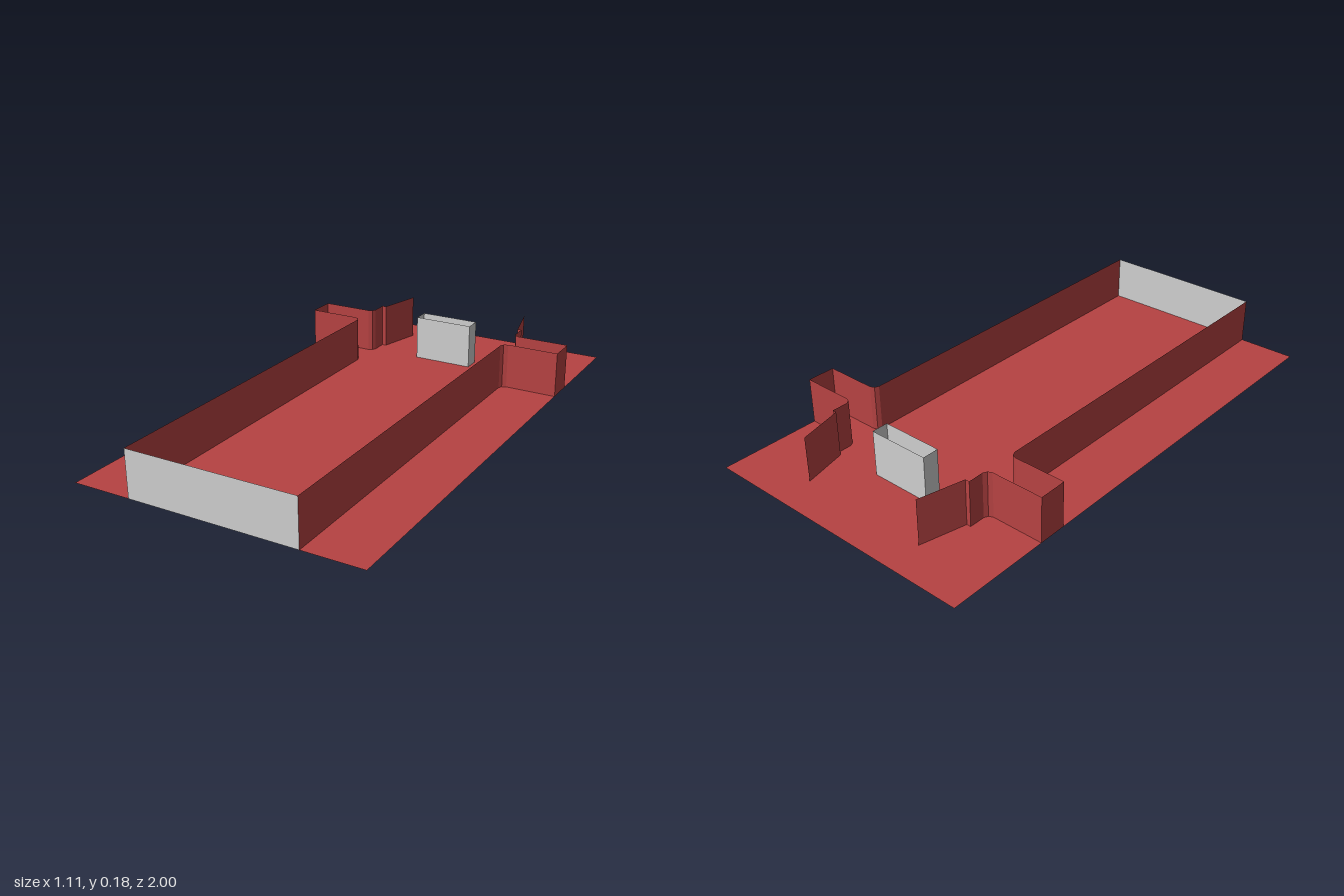
import * as THREE from 'three';

const H = 0.18; // wall height

const red = new THREE.MeshStandardMaterial({ color: 0xb64242, side: THREE.DoubleSide });
red.name = 'red';
const grey = new THREE.MeshStandardMaterial({ color: 0xcecece, side: THREE.DoubleSide });
grey.name = 'light grey';

// Upright paper-thin wall that follows a floor path of [x, z] points
function wall(name, path, material) {
  const pos = [];
  for (let i = 0; i < path.length - 1; i++) {
    const [ax, az] = path[i];
    const [bx, bz] = path[i + 1];
    pos.push(ax, 0, az, bx, 0, bz, bx, H, bz);
    pos.push(ax, 0, az, bx, H, bz, ax, H, az);
  }
  const geo = new THREE.BufferGeometry();
  geo.setAttribute('position', new THREE.Float32BufferAttribute(pos, 3));
  geo.computeVertexNormals();
  const mesh = new THREE.Mesh(geo, material);
  mesh.name = name;
  return mesh;
}

export function createModel() {
  const model = new THREE.Group();
  model.name = 'walledCourt';

  // Flat floor sheet
  const floor = new THREE.Mesh(new THREE.PlaneGeometry(1.112, 2).rotateX(-Math.PI / 2), red);
  floor.name = 'floor';
  model.add(floor);

  // Side wall: long run, rounded corner, outer bay, rounded corner, jog, angled wing
  const sidePath = [
    [0.327, 1], [0.327, -0.467], [0.334, -0.483], [0.35, -0.49],
    [0.556, -0.49], [0.556, -0.6],
    [0.35, -0.6], [0.334, -0.607], [0.327, -0.623],
    [0.327, -0.685], [0.31, -0.685], [0.267, -0.862],
  ];
  for (const [side, s] of [['left', 1], ['right', -1]]) {
    // reversed order keeps the mirrored wall facing outward
    const path = sidePath.map(([x, z]) => [x * s, z]);
    model.add(wall(side + 'SideWall', s > 0 ? path : path.reverse(), red));
  }

  // Front end wall
  model.add(wall('frontWall', [[-0.327, 1], [0.327, 1]], grey));

  // Open-topped block between the wings
  model.add(wall('centreBlock', [
    [-0.122, -0.62], [0.122, -0.62], [0.122, -0.685], [-0.122, -0.685], [-0.122, -0.62],
  ], grey));

  return model;
}
